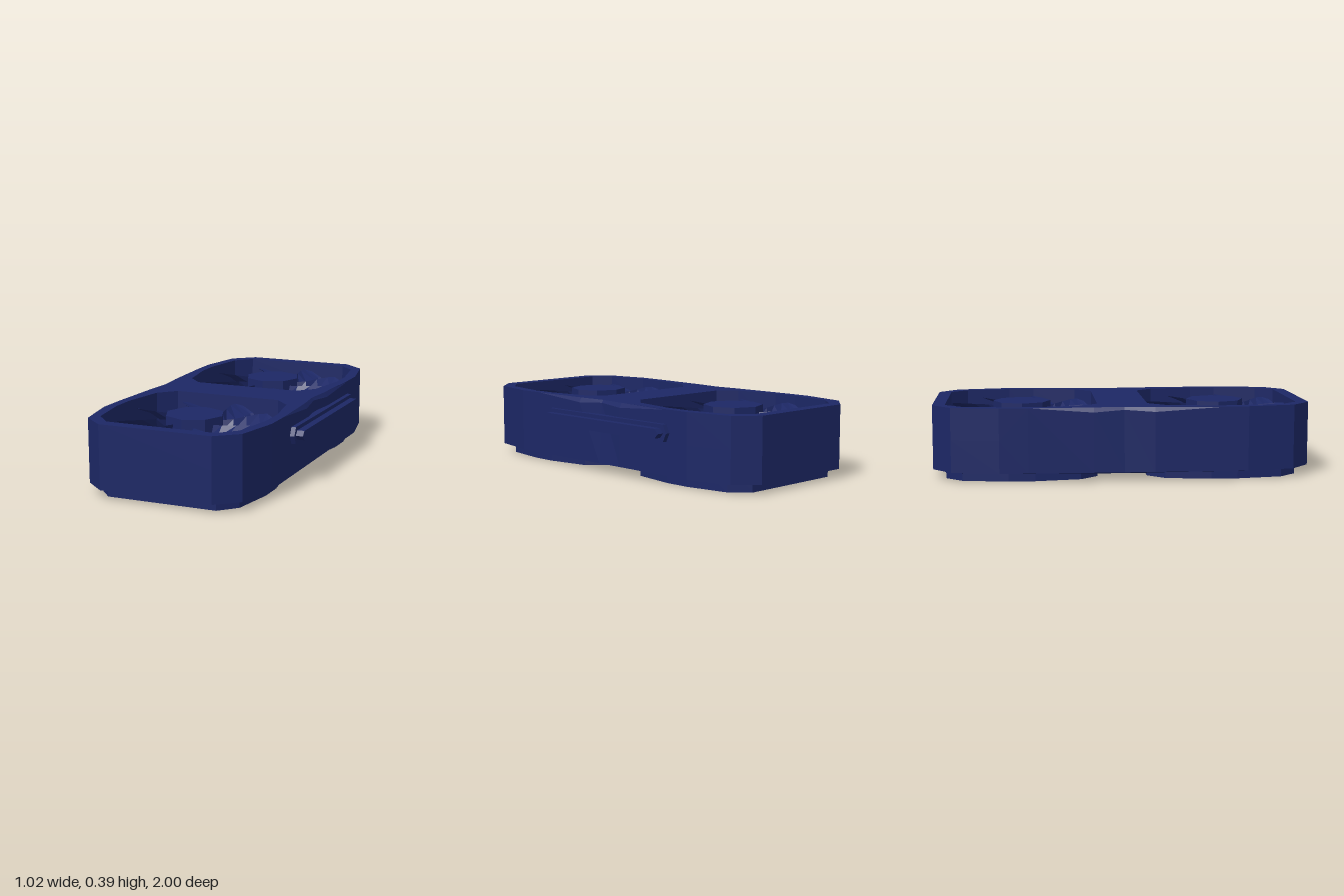
import * as THREE from 'three';

const CX = -0.033; // the casing sits a little off centre because of the side rail

// Symmetric outline from its +x, +y quarter, listed from the end towards the middle
function outline(quarter) {
  const mirror = (pts, sx, sy) => pts.map(([x, y]) => [x * sx, y * sy]);
  const back = [...quarter].reverse();
  const off = quarter.filter(([, y]) => y > 0); // skip the y = 0 point when mirroring
  return [
    ...mirror(back, 1, 1),
    ...mirror(quarter, -1, 1),
    ...mirror([...off].reverse(), -1, -1),
    ...mirror(off, 1, -1),
  ].map(([x, y]) => new THREE.Vector2(x, y));
}

// Extrude a plan shape upwards from y0 to y1
function slab(shape, y0, y1, steps = 1) {
  const g = new THREE.ExtrudeGeometry(shape, { depth: y1 - y0, steps, bevelEnabled: false });
  return g.rotateX(-Math.PI / 2).translate(0, y0, 0);
}

// Move every vertex by a rule
function reshape(g, rule) {
  const p = g.attributes.position;
  const v = new THREE.Vector3();
  for (let i = 0; i < p.count; i++) {
    rule(v.fromBufferAttribute(p, i));
    p.setXYZ(i, v.x, v.y, v.z);
  }
  g.computeVertexNormals();
  return g;
}

const BODY = [[0.308, 1], [0.425, 0.9], [0.476, 0.65], [0.476, 0.5], [0.476, 0.16], [0.476, 0]];
const WELL = [[0.3, 0.4], [0.385, 0.31], [0.425, 0.07]];
const WELL_Z = 0.533;

// One twisted, cambered fan blade around the y axis, steepest at the hub
function bladeGeometry() {
  // radius, trailing angle, leading angle (degrees), trailing y, leading y
  const rows = [
    [0.14, -13, 1, 0.2, 0.34],
    [0.2, -15, 4, 0.2, 0.345],
    [0.27, -18, 12, 0.22, 0.35],
    [0.34, -18, 16, 0.235, 0.355],
    [0.385, -15, 16, 0.245, 0.355],
    [0.403, -11, 10, 0.26, 0.345],
  ];
  const pos = [], index = [];
  rows.forEach(([r, a0, a1, y0, y1], i) => {
    for (let j = 0; j < 3; j++) {
      const t = j / 2;
      const a = THREE.MathUtils.degToRad(a0 + (a1 - a0) * t);
      pos.push(r * Math.cos(a), y0 + (y1 - y0) * t + (j === 1 ? 0.015 : 0), -r * Math.sin(a));
      if (i > 0 && j > 0) {
        const d = i * 3 + j, c = d - 1, b = d - 3, e = d - 4;
        index.push(e, b, d, e, d, c);
      }
    }
  });
  const g = new THREE.BufferGeometry();
  g.setAttribute('position', new THREE.Float32BufferAttribute(pos, 3));
  g.setIndex(index);
  g.computeVertexNormals();
  return g;
}

// Bar along z with pointed ends, from x0 to x1
function pointedBar(x0, x1, zFront, zBack, half) {
  const y = 0.27, tip = 0.022;
  const s = new THREE.Shape([
    [-zFront, y], [-zFront + tip, y - half], [-zBack - tip, y - half],
    [-zBack, y], [-zBack - tip, y + half], [-zFront + tip, y + half],
  ].map(([a, b]) => new THREE.Vector2(a, b)));
  const g = new THREE.ExtrudeGeometry(s, { depth: x1 - x0, bevelEnabled: false });
  return g.rotateY(Math.PI / 2).translate(x0, 0, 0);
}

export function createModel() {
  const model = new THREE.Group();
  model.name = 'twinFanCooler';
  const navy = new THREE.MeshStandardMaterial({ color: 0x1c2765, flatShading: true, side: THREE.DoubleSide });
  navy.name = 'navy';

  const add = (parent, name, geometry) => {
    const mesh = new THREE.Mesh(geometry, navy);
    mesh.name = name;
    parent.add(mesh);
    return mesh;
  };

  const casing = new THREE.Group();
  casing.name = 'casing';
  casing.position.x = CX;
  model.add(casing);

  // Casing wall with two fan openings; the long top edges are faceted inwards at the middle
  const wellPts = outline(WELL);
  const wall = new THREE.Shape(outline(BODY));
  for (const s of [-1, 1]) {
    wall.holes.push(new THREE.Path(wellPts.map((p) => new THREE.Vector2(p.x, p.y + s * WELL_Z))));
  }
  add(casing, 'casingWall', reshape(slab(wall, 0.05, 0.39, 2), (v) => {
    const side = Math.sign(v.x), z = Math.abs(v.z);
    if (v.y < 0.1 || Math.abs(v.x) < 0.47 || z > 0.55) return;
    const top = v.y > 0.3;
    if (z < 0.01) {
      v.x -= side * (top ? 0.03 : 0.02);
      if (!top) v.y = 0.375;
    } else if (z < 0.2) {
      if (top) v.x -= side * 0.015;
      else v.y = 0.365;
    } else if (!top) v.y = 0.387;
  }));

  // Underside, bevelled inwards and lower across the middle
  add(casing, 'underside', reshape(slab(new THREE.Shape(outline(BODY)), 0.04, 0.05), (v) => {
    if (v.y > 0.045) return;
    const middle = Math.abs(v.z) < 0.2;
    v.x *= middle ? 0.7 : 0.895;
    v.z *= 0.95;
    if (middle) v.y = 0.02;
  }));

  // Foot pads whose tops form the floors of the fan wells
  const blade = bladeGeometry();
  for (const s of [-1, 1]) {
    add(casing, 'footPad', slab(new THREE.Shape(wellPts), 0, 0.16)).position.z = s * WELL_Z;

    // Fan: eight-sided hub and eight blades
    const fan = new THREE.Group();
    fan.name = s > 0 ? 'frontFan' : 'backFan';
    fan.position.z = s > 0 ? 0.54 : -0.53;
    casing.add(fan);
    add(fan, 'fanHub', new THREE.CylinderGeometry(0.157, 0.157, 0.225, 8)).position.y = 0.263;
    for (let i = 0; i < 8; i++) {
      add(fan, 'fanBlade', blade).rotation.y = THREE.MathUtils.degToRad(20 + i * 45);
    }
  }

  // Connector strip on the left side
  add(model, 'connectorBase', pointedBar(0.43, 0.468, 0.405, -0.53, 0.045));
  add(model, 'connectorRail', pointedBar(0.46, 0.507, 0.385, -0.51, 0.025));

  return model;
}
